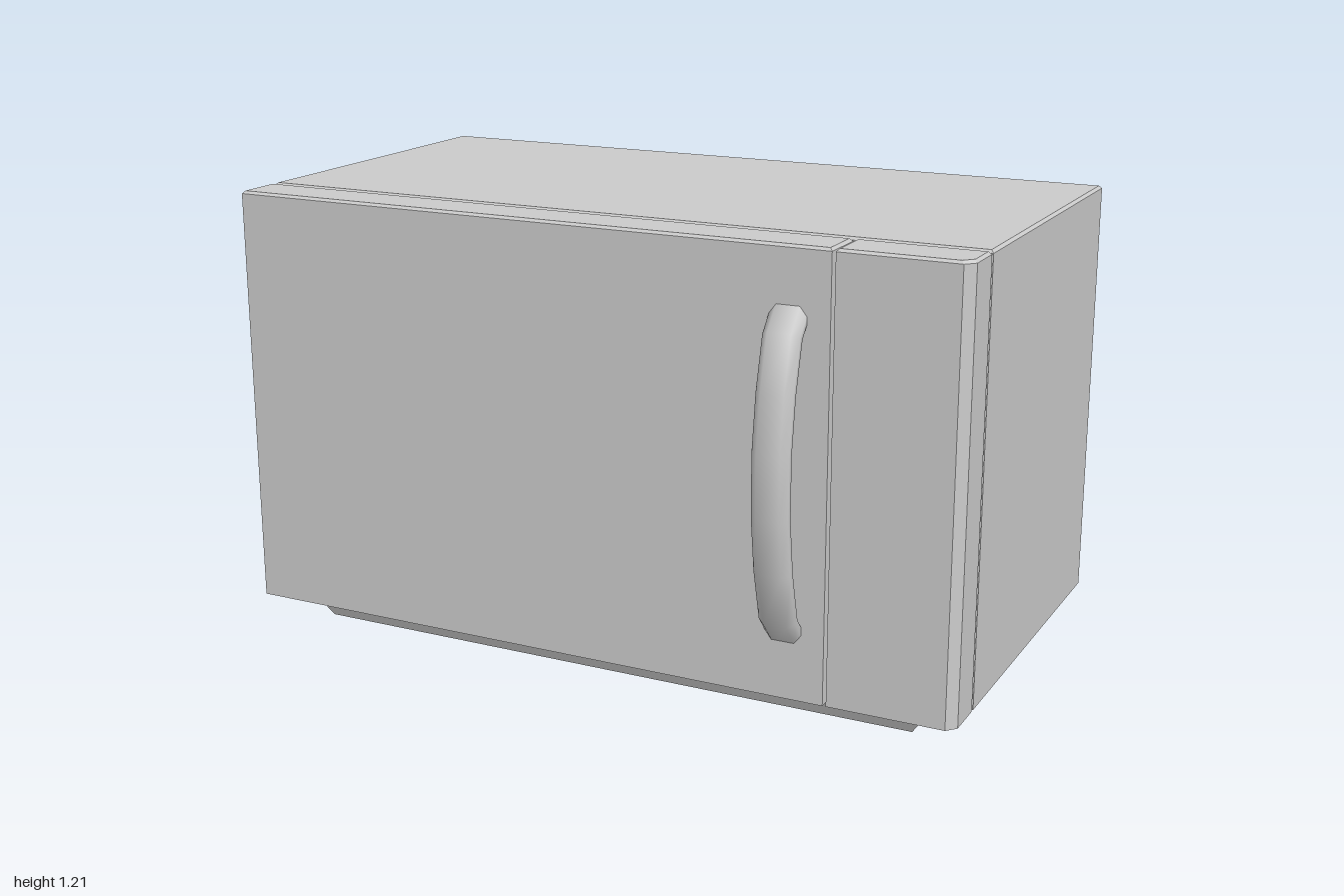
import * as THREE from 'three';
import { toCreasedNormals } from 'three/addons/utils/BufferGeometryUtils.js';

const material = new THREE.MeshStandardMaterial({ color: 0xcccccc });

// Closed solid skinned through rings of [x, y, z], counter-clockwise seen from the last ring.
function loft(name, rings, crease) {
  const n = rings[0].length, last = (rings.length - 1) * n, index = [];
  for (let r = 0; r < rings.length - 1; r++) {
    for (let i = 0; i < n; i++) {
      const a = r * n + i, b = r * n + (i + 1) % n;
      index.push(a, b, b + n, a, b + n, a + n);
    }
  }
  for (let i = 1; i < n - 1; i++) {
    index.push(0, i + 1, i, last, last + i, last + i + 1);
  }
  const geometry = new THREE.BufferGeometry();
  geometry.setAttribute('position', new THREE.Float32BufferAttribute(rings.flat(2), 3));
  geometry.setIndex(index);
  const mesh = new THREE.Mesh(toCreasedNormals(geometry, crease ?? 0.35), material);
  mesh.name = name;
  return mesh;
}

// Horizontal rectangle ring, for lofts running upwards
const level = (y, x0, x1, z0, z1) => [[x0, y, z1], [x1, y, z1], [x1, y, z0], [x0, y, z0]];

// Upright block with a fine bevel around its top
function block(name, plan, y0, y1) {
  const bevel = 0.007;
  const cx = plan.reduce((s, p) => s + p[0], 0) / plan.length;
  const cz = plan.reduce((s, p) => s + p[2], 0) / plan.length;
  const at = (y, d) => plan.map(([x, , z]) => [x - Math.sign(x - cx) * d, y, z - Math.sign(z - cz) * d]);
  return loft(name, [at(y0, 0), at(y1 - bevel, 0), at(y1, bevel)]);
}

function box(name, x0, x1, y0, y1, z0, z1) {
  return loft(name, [level(y0, x0, x1, z0, z1), level(y1, x0, x1, z0, z1)]);
}

// Arched bar with a chamfered section
function handle() {
  // half of the arch, from the end to the middle: y offset and z, outside then inside
  const half = [
    [0.436, 0.535, 0.37, 0.535],
    [0.362, 0.6, 0.338, 0.56],
    [0.222, 0.636, 0.217, 0.592],
    [0.08, 0.655, 0.08, 0.611],
  ];
  const stations = [...half, ...half.slice().reverse().map(([a, b, c, d]) => [-a, b, -c, d])];
  const w = 0.048, c = 0.018;
  // across the bar, and from inside (0) to outside (1)
  const section = [
    [-w + c, 0], [w - c, 0], [w, 0.35], [w, 0.65],
    [w - c, 1], [-w + c, 1], [-w, 0.65], [-w, 0.35],
  ];
  const rings = stations.map(([yo, zo, yi, zi]) => section.map(([u, t]) => [
    0.558 + u, 0.648 + yi + (yo - yi) * t, zi + (zo - zi) * t,
  ]));
  return loft('doorHandle', rings, 0.95);
}

export function createModel() {
  const group = new THREE.Group();
  group.name = 'microwaveOven';
  const bottom = 0.08, top = 1.21, front = 0.55, seam = 0.42;

  // Housing and the recessed core that shows in the seam behind the door
  group.add(block('housing', level(0, -1, 1, -0.53, 0.41), bottom, top));
  group.add(box('seamCore', -0.98, 0.98, 0.1, 1.19, 0.3, 0.43));
  group.add(box('lowerSeamCore', -0.87, 0.87, 0.035, 0.11, 0.3, 0.425));

  // Door and control panel, separated by a narrow slot
  group.add(block('door', level(0, -1, 0.665, seam, front), bottom, top));
  const panelPlan = [
    [0.674, 0, front], [0.977, 0, front], [1, 0, 0.525], [1, 0, seam], [0.674, 0, seam],
  ];
  group.add(block('controlPanel', panelPlan, bottom, top));
  group.add(handle());

  // Tapered base, cut by the seam
  group.add(loft('base', [
    level(0, -0.86, 0.855, -0.41, 0.41),
    level(bottom, -0.915, 0.91, -0.445, 0.41),
  ]));
  group.add(loft('baseFrontStrip', [
    level(0, -0.86, 0.855, seam, 0.43),
    level(bottom, -0.915, 0.91, seam, 0.465),
  ]));

  // Raised rear cover, narrowing in two steps
  const upright = (z, x0, x1, y0, y1) => [[x0, y0, z], [x0, y1, z], [x1, y1, z], [x1, y0, z]];
  group.add(loft('rearCover', [
    upright(-0.52, -0.91, 0.57, 0.172, 1.122),
    upright(-0.53, -0.91, 0.57, 0.172, 1.122),
    upright(-0.618, -0.87, 0.533, 0.21, 1.084),
    upright(-0.655, -0.78, 0.44, 0.3, 0.994),
  ], 0.55));

  return group;
}
